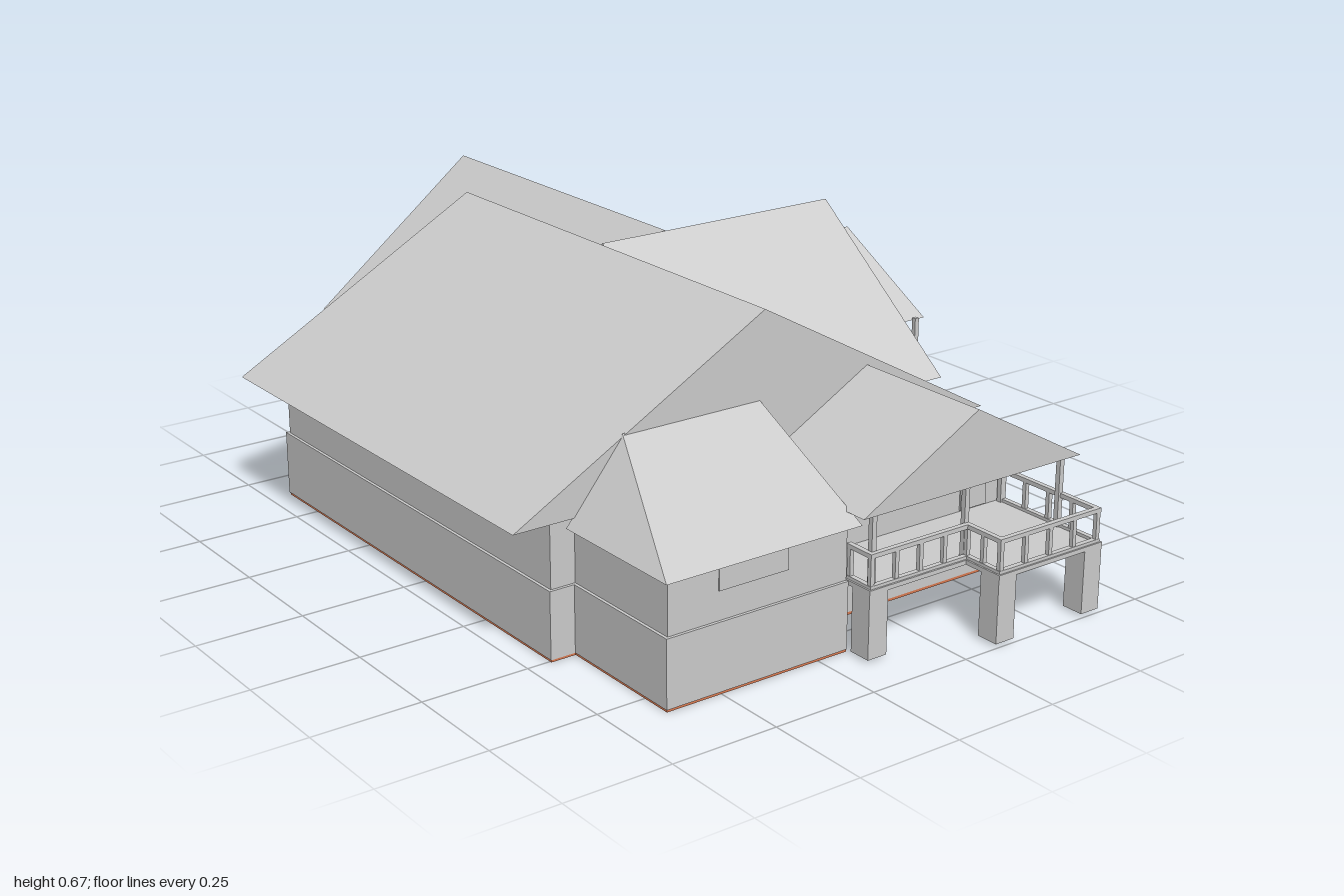
import * as THREE from 'three';
import { ConvexGeometry } from 'three/addons/geometries/ConvexGeometry.js';

export function createModel() {
  const house = new THREE.Group();
  house.name = 'house';
  const grey = new THREE.MeshStandardMaterial({ color: 0xcccccc, flatShading: true });
  const brown = new THREE.MeshStandardMaterial({ color: 0xd87a52, flatShading: true });
  const V = (x, y, z) => new THREE.Vector3(x, y, z);

  function add(name, geometry, parent = house, material = grey) {
    const mesh = new THREE.Mesh(geometry, material);
    mesh.name = name;
    parent.add(mesh);
    return mesh;
  }
  // Box given by its lower and upper corners
  function box(name, x0, x1, y0, y1, z0, z1, parent) {
    const g = new THREE.BoxGeometry(x1 - x0, y1 - y0, z1 - z0);
    return add(name, g.translate((x0 + x1) / 2, (y0 + y1) / 2, (z0 + z1) / 2), parent);
  }
  // Level slab from a plan outline of [x, z] points
  function slab(name, plan, y0, y1, material) {
    const shape = new THREE.Shape(plan.map(([x, z]) => new THREE.Vector2(x, -z)));
    const g = new THREE.ExtrudeGeometry(shape, { depth: y1 - y0, bevelEnabled: false });
    return add(name, g.rotateX(-Math.PI / 2).translate(0, y0, 0), house, material);
  }

  // Walls on a stepped plan, with a slightly wider plinth
  const plan = (o) => [
    [-0.69 - o, -0.63 - o], [0.39, -0.63 - o], [0.39, 0.69], [-0.175, 0.69],
    [-0.175, 0.82 + o], [-0.63 - o, 0.82 + o], [-0.63 - o, 0.5 + o], [-0.69 - o, 0.5 + o],
  ];
  slab('groundFloor', plan(0.005), 0, 0.006, brown);
  slab('plinth', plan(0.007), 0.006, 0.16);
  slab('walls', plan(0), 0.16, 0.32);

  // Gable roofs: eaves at a and b, ridge midway, running from s to e
  function gableRoof(name, axis, a, b, eave, ridge, s, e) {
    const m = (a + b) / 2;
    const pts = [];
    for (const t of [s, e])
      for (const [u, y] of [[a, eave], [m, ridge], [b, eave]])
        pts.push(axis === 'z' ? V(u, y, t) : V(t, y, u));
    add(name, new ConvexGeometry(pts));
  }
  gableRoof('mainRoof', 'z', -0.80, 0.463, 0.32, 0.67, -0.643, 0.535);
  gableRoof('backRoof', 'z', -0.39, 0.47, 0.32, 0.66, -1, -0.1);
  gableRoof('sideRoof', 'x', -0.535, 0.335, 0.32, 0.66, -0.14, 0.523);
  gableRoof('sideDeckRoof', 'x', -0.643, -0.033, 0.32, 0.49, 0.2, 0.80);
  gableRoof('porchRoof', 'z', -0.19, 0.422, 0.32, 0.49, 0.53, 0.887);

  // Lean-to roof with a sloped left end
  add('leanToRoof', new ConvexGeometry([
    V(-0.67, 0.3, 0.872), V(-0.18, 0.3, 0.872), V(-0.18, 0.3, 0.53),
    V(-0.67, 0.3, 0.53), V(-0.18, 0.473, 0.53), V(-0.53, 0.473, 0.53),
  ]));

  // Deck floors
  slab('porchFloor', [[-0.175, 0.69], [0.39, 0.69], [0.39, 0.995], [0.09, 0.995],
    [0.09, 0.895], [-0.175, 0.895]], 0.152, 0.162);
  slab('sideDeckFloor', [[0.39, -0.005], [0.77, -0.005], [0.77, -0.63], [0.39, -0.63]], 0.152, 0.162);
  slab('backDeckFloor', [[-0.35, -0.63], [0.44, -0.63], [0.44, -0.99], [-0.35, -0.99]], 0.152, 0.162);

  // Thick piers under the decks, by centre
  const piers = [
    [-0.15, 0.867], [0.115, 0.967], [0.365, 0.967], [0.365, 0.715],
    [0.747, -0.03], [0.747, -0.605], [0.415, -0.03],
    [0.415, -0.65], [0.415, -0.962], [-0.325, -0.962], [-0.325, -0.65],
  ];
  for (const [x, z] of piers)
    box('pier', x - 0.025, x + 0.025, 0.006, 0.158, z - 0.027, z + 0.027);

  // Slim posts carrying the roofs
  const posts = [
    [-0.155, 0.875], [0.1, 0.875], [0.375, 0.875], [0.375, 0.7],
    [0.76, -0.02], [0.76, -0.615], [0.4, -0.02],
    [0.425, -0.98], [-0.335, -0.98], [0.425, -0.645], [-0.335, -0.645],
  ];
  for (const [x, z] of posts)
    box('post', x - 0.006, x + 0.006, 0.16, 0.33, z - 0.006, z + 0.006);

  // Railing along a path of [x, z] points
  function railing(name, path, top) {
    const g = new THREE.Group();
    g.name = name;
    house.add(g);
    const h = 0.006;
    for (let i = 0; i + 1 < path.length; i++) {
      const [ax, az] = path[i], [bx, bz] = path[i + 1];
      const x0 = Math.min(ax, bx) - h, x1 = Math.max(ax, bx) + h;
      const z0 = Math.min(az, bz) - h, z1 = Math.max(az, bz) + h;
      box('topRail', x0, x1, top - 0.01, top, z0, z1, g);
      box('bottomRail', x0, x1, 0.16, 0.169, z0, z1, g);
      const n = Math.max(1, Math.round(Math.hypot(bx - ax, bz - az) / 0.066));
      for (let k = 0; k <= n; k++) {
        const x = ax + (bx - ax) * k / n, z = az + (bz - az) * k / n;
        box('baluster', x - 0.005, x + 0.005, 0.165, top - 0.005, z - 0.005, z + 0.005, g);
      }
    }
  }
  railing('porchRailing', [[-0.165, 0.82], [-0.165, 0.885], [0.1, 0.885], [0.1, 0.985],
    [0.38, 0.985], [0.38, 0.7]], 0.24);
  railing('sideDeckRailing', [[0.4, -0.015], [0.762, -0.015], [0.762, -0.62], [0.44, -0.62]], 0.215);
  railing('backDeckRailing', [[0.43, -0.64], [0.43, -0.983], [-0.342, -0.983], [-0.342, -0.645]], 0.215);

  // Arched door panel facing +z, placed by angle
  function door(name, w, x, z, angle) {
    const s = new THREE.Shape();
    s.moveTo(-w / 2, 0);
    s.lineTo(w / 2, 0);
    s.lineTo(w / 2, 0.11);
    s.quadraticCurveTo(0, 0.145, -w / 2, 0.11);
    const g = new THREE.ExtrudeGeometry(s, { depth: 0.004, bevelEnabled: false });
    add(name, g.rotateY(angle).translate(x, 0.165, z));
  }
  door('frontDoor', 0.075, 0.297, 0.69, 0);
  door('sideDoor', 0.15, 0.39, -0.115, Math.PI / 2);
  door('backDoor', 0.15, 0.04, -0.63, Math.PI);

  // Windows
  box('frontWindow', -0.505, -0.33, 0.225, 0.298, 0.818, 0.823);
  box('backWindow', -0.62, -0.37, 0.225, 0.298, -0.633, -0.628);

  return house;
}
